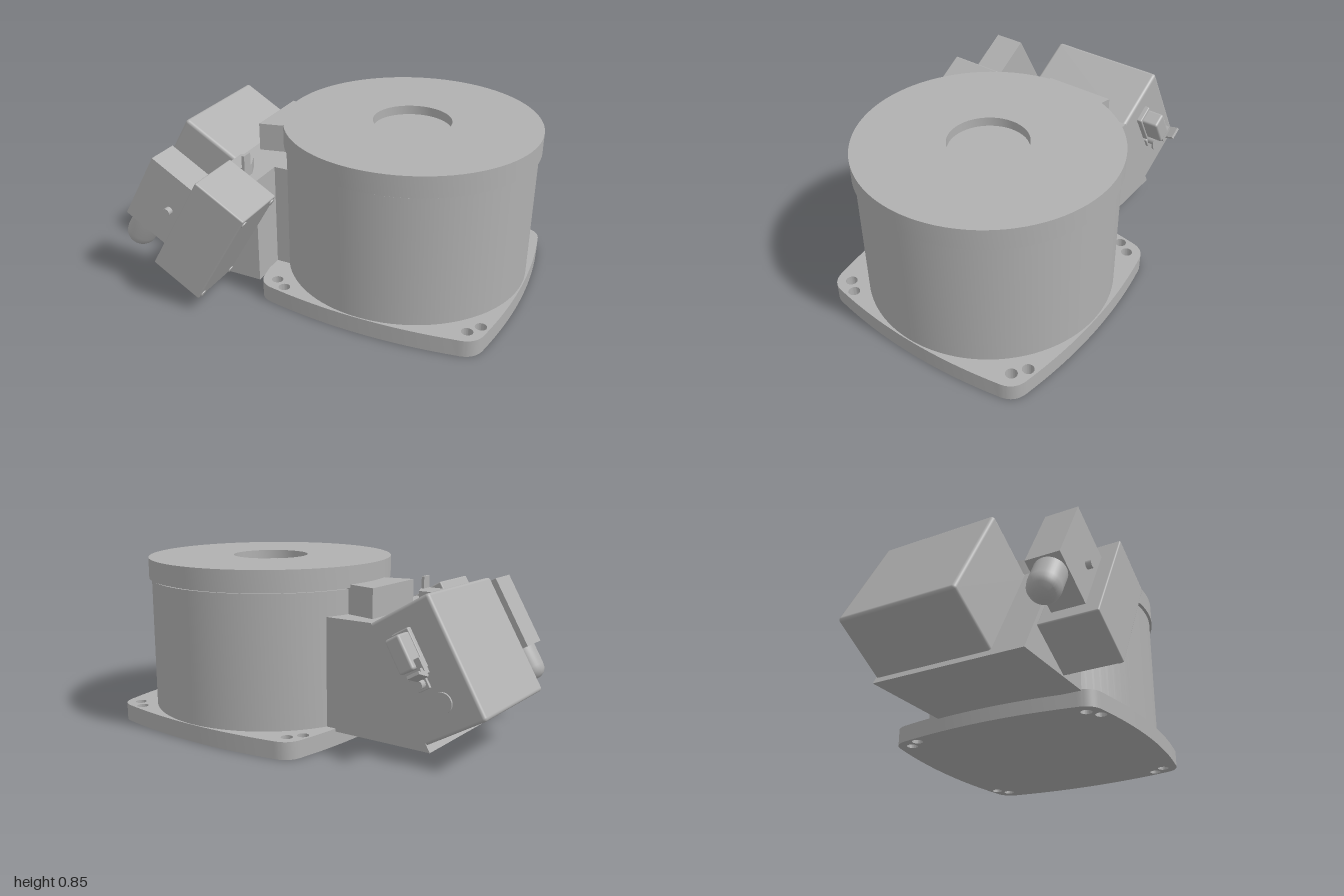
import * as THREE from 'three';
import { toCreasedNormals } from 'three/addons/utils/BufferGeometryUtils.js';
import { RoundedBoxGeometry } from 'three/addons/geometries/RoundedBoxGeometry.js';

export function createModel() {
  const model = new THREE.Group();
  const grey = new THREE.MeshStandardMaterial({ color: 0xb0b0b0 });
  grey.name = 'machine grey';

  const add = (parent, name, geometry, x = 0, y = 0, z = 0) => {
    const mesh = new THREE.Mesh(geometry, grey);
    mesh.name = name;
    mesh.position.set(x, y, z);
    parent.add(mesh);
    return mesh;
  };
  // Box given by its limits, optionally with rounded edges
  const block = (parent, name, [x0, x1], [y0, y1], [z0, z1], r = 0) => {
    const s = [x1 - x0, y1 - y0, z1 - z0];
    const g = r ? new RoundedBoxGeometry(...s, 3, r) : new THREE.BoxGeometry(...s);
    return add(parent, name, g, (x0 + x1) / 2, (y0 + y1) / 2, (z0 + z1) / 2);
  };
  const lathe = (points, sides) => toCreasedNormals(
    new THREE.LatheGeometry(points.map(p => new THREE.Vector2(...p)), sides), 0.5);
  const polygon = points => new THREE.Shape(points.map(p => new THREE.Vector2(...p)));
  const extrude = (shape, depth) =>
    new THREE.ExtrudeGeometry(shape, { depth, bevelEnabled: false, curveSegments: 20 });
  const pin = (parent, name, r, x, y, z0, z1) => {
    const g = new THREE.CylinderGeometry(r, r, z1 - z0, 28).rotateX(Math.PI / 2);
    return add(parent, name, g, x, y, (z0 + z1) / 2);
  };

  // Turntable: drum, overhanging cap and shallow centre recess
  const cx = 0.375, cz = -0.09;
  add(model, 'drum', lathe([
    [0, 0.02], [0.607, 0.02], [0.607, 0.735], [0.595, 0.735], [0.595, 0.742],
    [0.62, 0.742], [0.62, 0.845], [0.19, 0.845], [0.19, 0.8], [0, 0.8],
  ], 96), cx, 0, cz);

  // Base plate: four bulged sides, rounded corners, a hole pair in each corner
  const plate = new THREE.Shape();
  plate.moveTo(0.57, -0.47);
  const turn = (x, y, n) => {
    for (let i = 0; i < n; i++) [x, y] = [-y, x];
    return [x, y];
  };
  for (let i = 0; i < 4; i++) {
    plate.quadraticCurveTo(...turn(0.656, 0, i), ...turn(0.57, 0.47, i));
    plate.quadraticCurveTo(...turn(0.56, 0.56, i), ...turn(0.47, 0.57, i));
    for (const [x, y] of [[0.427, 0.535], [0.49, 0.49]]) {
      const hole = new THREE.Path();
      hole.absarc(...turn(x, y, i), 0.028, 0, Math.PI * 2, true);
      plate.holes.push(hole);
    }
  }
  add(model, 'basePlate', toCreasedNormals(extrude(plate, 0.085).rotateX(-Math.PI / 2), 0.5), cx, 0, cz);

  // Neck with sloping mounting face, cut shorter towards the front
  const neck = right => polygon([[-0.733, 0.07], [right, 0.07], [right, 0.615], [-0.42, 0.615]]);
  add(model, 'neck', extrude(neck(-0.08), 0.59), 0, 0, -0.35);
  add(model, 'neckFront', extrude(neck(-0.205), 0.18), 0, 0, 0.24);

  // Blocks standing on the neck
  const wedge = polygon([[-0.375, 0.27], [-0.375, -0.09], [-0.2, -0.05], [-0.2, 0.23]]);
  add(model, 'neckCover', extrude(wedge, 0.145).rotateX(-Math.PI / 2), 0, 0.612, 0);
  const foot = polygon([[-0.37, -0.415], [-0.265, -0.415], [-0.265, -0.35], [-0.3, -0.275], [-0.37, -0.275]]);
  add(model, 'sensorBlock', extrude(foot, 0.055).rotateX(-Math.PI / 2), 0, 0.612, 0);
  block(model, 'sensorFin', [-0.28, -0.265], [0.61, 0.73], [0.36, 0.415]);

  // Everything on the drive unit shares one 30 degree tilt
  const drive = new THREE.Group();
  drive.name = 'driveUnit';
  drive.rotation.z = -Math.PI / 6;
  model.add(drive);
  block(drive, 'motorHousing', [-0.9985, -0.64], [-0.27, 0.323], [-0.35, 0.25], 0.016);

  // Terminal box with corner screws on its outer face
  block(drive, 'terminalBox', [-0.649, -0.367], [-0.126, 0.436], [0.415, 0.705], 0.007);
  for (const v of [-0.098, 0.408]) for (const z of [0.44, 0.682]) {
    const screw = new THREE.CylinderGeometry(0.017, 0.017, 0.01, 20).rotateZ(Math.PI / 2);
    add(drive, 'cornerScrew', screw, -0.366, v, z);
  }

  // Plug hood with cross pin and domed cable gland
  block(drive, 'plugHood', [-0.915, -0.64], [-0.055, 0.323], [0.47, 0.632]);
  pin(drive, 'hoodPin', 0.02, -0.725, 0.134, 0.45, 0.66);
  add(drive, 'cableGland', lathe([
    [0, -0.225], [0.035, -0.222], [0.058, -0.208], [0.071, -0.187], [0.075, -0.16], [0.075, -0.04], [0, -0.04],
  ], 40), -0.832, 0, 0.551);

  // Latched connector on the back of the housing
  block(drive, 'connectorBase', [-0.85, -0.755], [0.04, 0.23], [-0.375, -0.345], 0.006);
  block(drive, 'connectorBody', [-0.845, -0.765], [0.05, 0.215], [-0.457, -0.36], 0.012);
  block(drive, 'latchArm', [-0.875, -0.845], [0.03, 0.09], [-0.43, -0.405]);
  block(drive, 'latchLever', [-0.87, -0.79], [0.015, 0.045], [-0.45, -0.39]);
  const lip = block(drive, 'latchLip', [-0.885, -0.82], [0.01, 0.025], [-0.495, -0.43]);
  lip.rotation.x = 0.4;

  // Small socket and round blanking cap below the connector
  block(drive, 'socketFlange', [-0.82, -0.756], [-0.048, 0.016], [-0.362, -0.345], 0.004);
  pin(drive, 'socket', 0.022, -0.788, -0.016, -0.395, -0.35);
  pin(drive, 'blankingCap', 0.048, -0.839, -0.127, -0.36, -0.345);

  return model;
}
